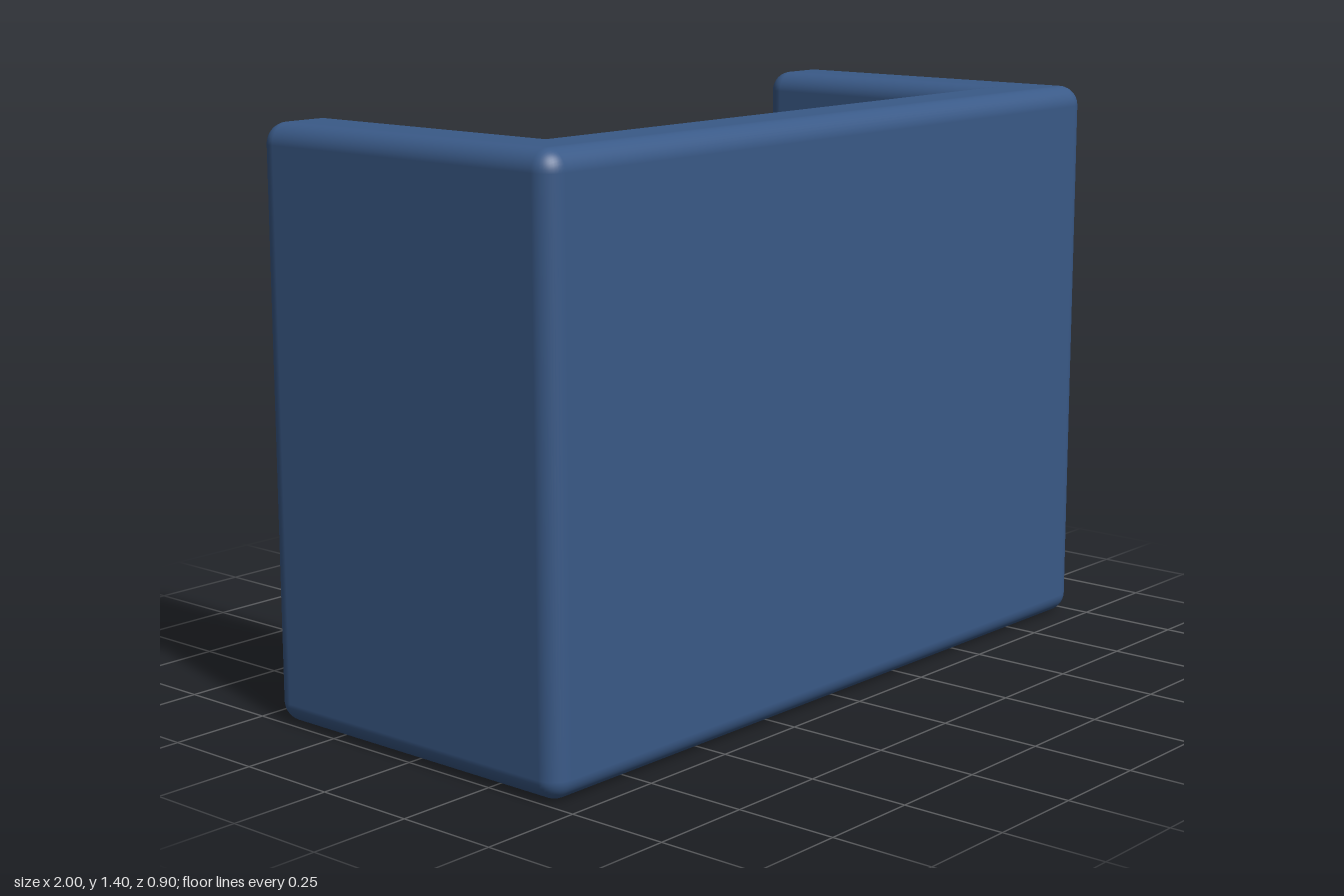
import * as THREE from 'three';
import { RoundedBoxGeometry } from 'three/addons/geometries/RoundedBoxGeometry.js';

const blueFabric = new THREE.MeshStandardMaterial({ color: 0x3a5a88 });
blueFabric.name = 'blue fabric';
const greyFabric = new THREE.MeshStandardMaterial({ color: 0x76777a });
greyFabric.name = 'grey fabric';

// Padded block given by its centre and size
function pad(name, material, [w, h, d], [x, y, z], radius) {
  const mesh = new THREE.Mesh(new RoundedBoxGeometry(w, h, d, 5, radius), material);
  mesh.name = name;
  mesh.position.set(x, y, z);
  return mesh;
}

export function createModel() {
  const booth = new THREE.Group();
  booth.name = 'highBackSofa';

  // Tall back panel, full width
  booth.add(pad('backPanel', blueFabric, [2, 1.4, 0.2], [0, 0.7, 0.35], 0.05));

  // Tall side panels
  for (const side of [-1, 1]) {
    const name = side > 0 ? 'leftPanel' : 'rightPanel';
    booth.add(pad(name, blueFabric, [0.2, 1.4, 0.9], [side * 0.9, 0.7, 0], 0.05));
  }

  // Seat block between the panels
  booth.add(pad('seat', greyFabric, [1.6, 0.4, 0.6], [0, 0.2, -0.05], 0.065));

  return booth;
}
